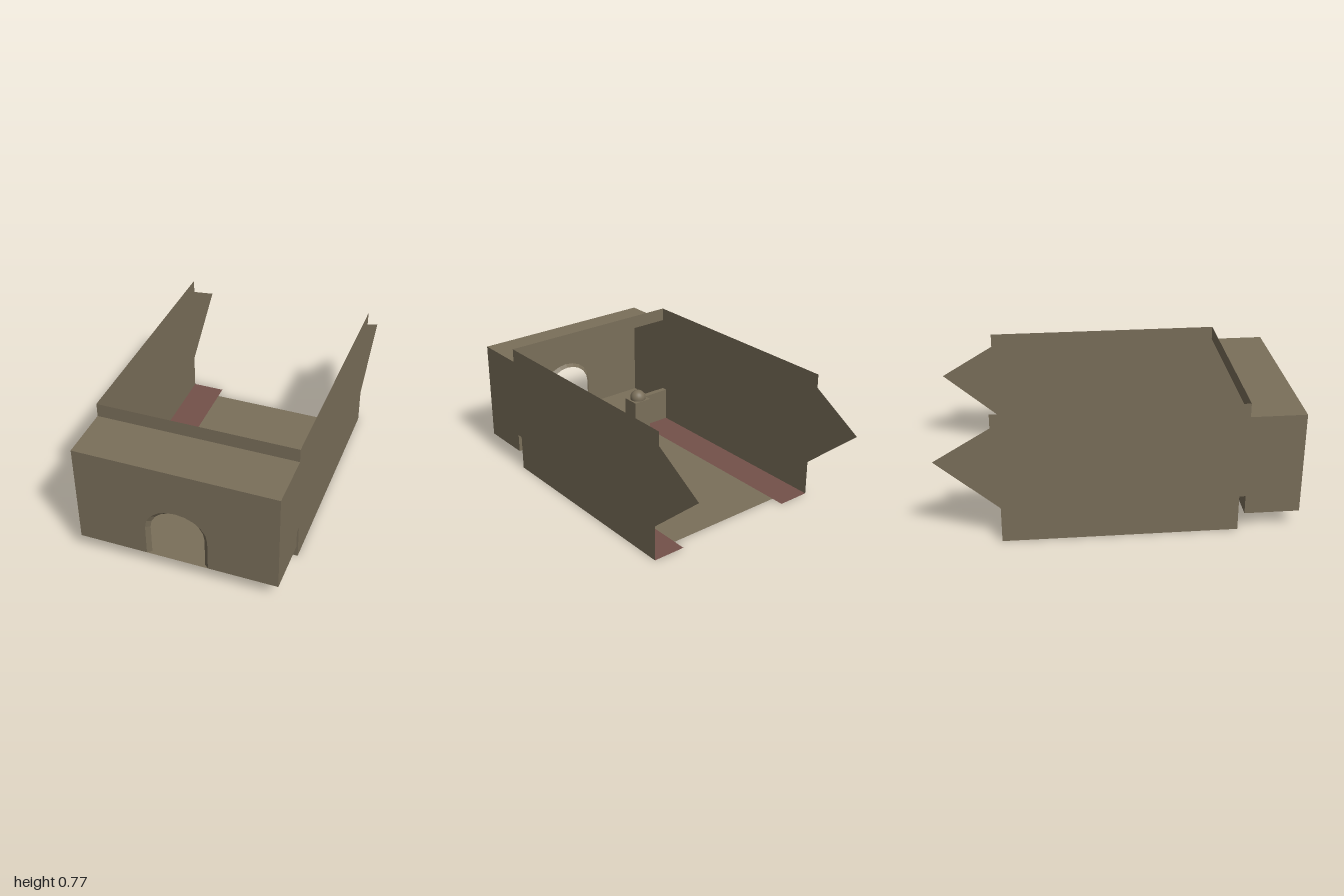
import * as THREE from 'three';

const stone = new THREE.MeshStandardMaterial({ color: 0x7a6f5a, side: THREE.DoubleSide });
stone.name = 'stone';
const carpet = new THREE.MeshStandardMaterial({ color: 0x74514a, side: THREE.DoubleSide });
carpet.name = 'redCarpet';

const W = 0.565;      // half width of the hall
const AISLE = 0.37;   // half width of the central floor
const STEP = 0.25;    // half width of the steps
const PORCH = 0.1;    // height of the raised entrance floor
const ROOF = 0.695;

export function createModel() {
  const hall = new THREE.Group();
  hall.name = 'hall';

  const add = (name, geometry, material = stone) => {
    const mesh = new THREE.Mesh(geometry, material);
    mesh.name = name;
    hall.add(mesh);
    return mesh;
  };
  // Horizontal sheet spanning x0..x1 and z0..z1, facing up
  const level = (name, x0, x1, z0, z1, y, material) => {
    const g = new THREE.PlaneGeometry(x1 - x0, z1 - z0).rotateX(-Math.PI / 2);
    g.translate((x0 + x1) / 2, y, (z0 + z1) / 2);
    return add(name, g, material);
  };
  // Upright sheet spanning x0..x1 and y0..y1, facing front
  const upright = (name, x0, x1, y0, y1, z) => {
    const g = new THREE.PlaneGeometry(x1 - x0, y1 - y0);
    g.translate((x0 + x1) / 2, (y0 + y1) / 2, z);
    return add(name, g);
  };
  // Archway outline from the right foot over the crown to the left foot
  const arch = (halfWidth, spring, top) => {
    const pts = [new THREE.Vector2(halfWidth, PORCH)];
    const n = 10;
    for (let i = 0; i <= n; i++) {
      const a = (i / n) * Math.PI;
      pts.push(new THREE.Vector2(halfWidth * Math.cos(a), spring + (top - spring) * Math.sin(a)));
    }
    pts.push(new THREE.Vector2(-halfWidth, PORCH));
    return pts;
  };

  // Floors and entrance roof
  level('floor', -AISLE, AISLE, -0.58, 0.58, 0);
  level('entranceFloor', -W, W, 0.69, 1, PORCH);
  level('entranceRoof', -W, W, 0.69, 1, ROOF);
  upright('roofLedge', -W, W, ROOF, 0.775, 0.69);

  // Front wall cut by the archway
  const outer = arch(0.175, 0.285, 0.43);
  const inner = arch(0.152, 0.28, 0.412);
  const wall = new THREE.Shape([
    new THREE.Vector2(-W, PORCH), ...[...outer].reverse(),
    new THREE.Vector2(W, PORCH), new THREE.Vector2(W, ROOF), new THREE.Vector2(-W, ROOF),
  ]);
  add('frontWall', new THREE.ShapeGeometry(wall).translate(0, 0, 1));

  // Bevelled arch surround, running between the two outlines
  const pos = [];
  for (let i = 0; i < outer.length - 1; i++) {
    const a = [outer[i].x, outer[i].y, 1], b = [outer[i + 1].x, outer[i + 1].y, 1];
    const c = [inner[i + 1].x, inner[i + 1].y, 0.98], d = [inner[i].x, inner[i].y, 0.98];
    pos.push(...a, ...b, ...c, ...a, ...c, ...d);
  }
  const surround = new THREE.BufferGeometry();
  surround.setAttribute('position', new THREE.Float32BufferAttribute(pos, 3));
  surround.computeVertexNormals();
  add('archSurround', surround);

  // Steps down from the entrance to the floor
  const treads = [0.58, 0.615, 0.65, 0.69];
  treads.forEach((z, i) => {
    const h = PORCH / 4;
    upright('stepRiser', -STEP, STEP, i * h, (i + 1) * h, z).geometry.rotateY(Math.PI).translate(0, 0, 2 * z);
    if (i < 3) level('stepTread', -STEP, STEP, z, treads[i + 1], (i + 1) * h);
  });

  // Side wall outline in (z, y), with a notch beside the parapet
  const profile = [
    [1, PORCH], [1, ROOF], [0.69, ROOF], [0.69, 0.775], [-0.69, 0.775], [-0.69, ROOF],
    [-1, 0.51], [-0.655, 0.21], [-0.655, 0], [0.655, 0], [0.655, 0.21], [0.69, 0.21], [0.69, PORCH],
  ].map(([z, y]) => new THREE.Vector2(-z, y));

  for (const s of [1, -1]) {
    const side = s > 0 ? 'left' : 'right';
    const span = s > 0 ? [AISLE, W] : [-W, -AISLE];

    const g = new THREE.ShapeGeometry(new THREE.Shape(profile));
    add(side + 'Wall', g.rotateY(s * Math.PI / 2).scale(1, 1, s).translate(s * W, 0, 0));
    // Mirroring flips the corner order, so restore it
    if (s < 0) {
      const idx = g.index.array;
      for (let i = 0; i < idx.length; i += 3) [idx[i], idx[i + 1]] = [idx[i + 1], idx[i]];
      g.computeVertexNormals();
    }

    level(side + 'Carpet', ...span, -0.655, 0.655, 0, carpet);

    // Low parapet beside the steps
    upright(side + 'ParapetBack', ...span, 0, 0.21, 0.655);
    upright(side + 'ParapetFront', ...span, PORCH, 0.21, 0.69);
    level(side + 'ParapetTop', ...span, 0.655, 0.69, 0.21);

    // Pedestal with a ball set into its top
    add(side + 'Pedestal', new THREE.BoxGeometry(AISLE - STEP, 0.225, 0.11)
      .translate(s * (AISLE + STEP) / 2, 0.1125, 0.635));
    add(side + 'Ball', new THREE.SphereGeometry(0.05, 24, 16).translate(s * 0.31, 0.235, 0.633));
  }
  return hall;
}
